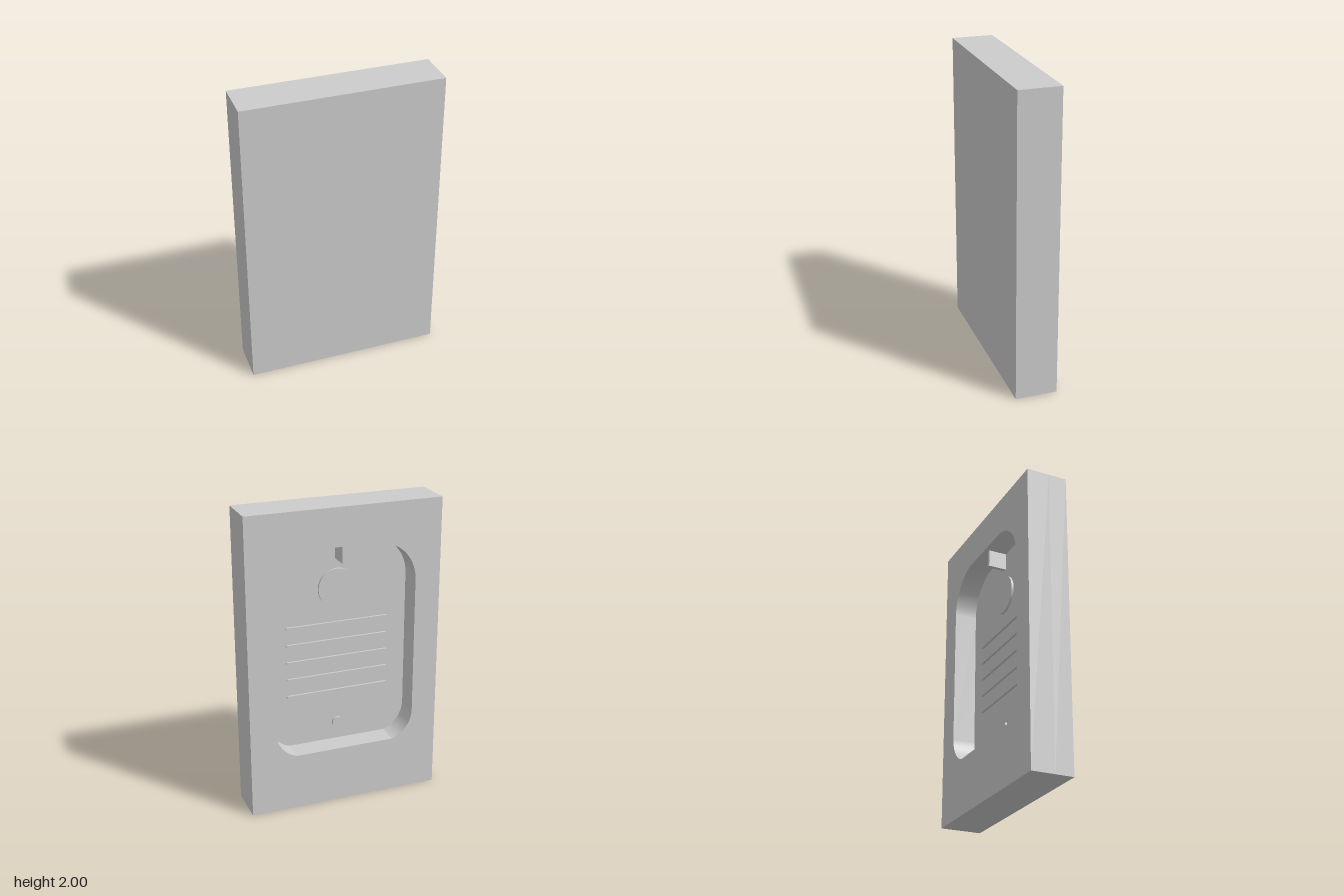
import * as THREE from 'three';
import { toCreasedNormals } from 'three/addons/utils/BufferGeometryUtils.js';

const W = 1.29, H = 2, BACK = -0.137, FRONT = 0.137, FLOOR = 0.015;
const RELIEF = 0.015; // height of the low details on the recess floor

// Badge outline: round shoulders, rounded lower corners, pointed bottom
function badgePath() {
  const half = 0.476, top = 1.75, tip = 0.273, slope = 0.31;
  const rTop = 0.27, rLow = 0.2, tilt = Math.atan(slope);
  const cx = half - rLow;
  const cy = tip + slope * cx + rLow / Math.cos(tilt);
  const p = new THREE.Path();
  p.moveTo(0, tip);
  p.absarc(cx, cy, rLow, -Math.PI / 2 + tilt, 0, false);
  p.absarc(half - rTop, top - rTop, rTop, 0, Math.PI / 2, false);
  p.absarc(-half + rTop, top - rTop, rTop, Math.PI / 2, Math.PI, false);
  p.absarc(-cx, cy, rLow, Math.PI, Math.PI * 1.5 - tilt, false);
  p.closePath();
  return p;
}

function barShape(halfLength, r) {
  const s = new THREE.Shape();
  s.absarc(halfLength - r, 0, r, -Math.PI / 2, Math.PI / 2, false);
  s.absarc(-halfLength + r, 0, r, Math.PI / 2, Math.PI * 1.5, false);
  s.closePath();
  return s;
}

export function createModel() {
  const group = new THREE.Group();
  const material = new THREE.MeshStandardMaterial({ color: 0xcccccc });

  function add(name, geometry, x, y, z) {
    const mesh = new THREE.Mesh(geometry, material);
    mesh.name = name;
    mesh.position.set(x, y, z);
    group.add(mesh);
    return mesh;
  }
  const extrude = (shape, depth) => toCreasedNormals(
    new THREE.ExtrudeGeometry(shape, { depth, bevelEnabled: false, curveSegments: 20 }), 0.25);

  // Solid front slab, whose back is the recess floor
  add('frontSlab', new THREE.BoxGeometry(W, H, FRONT - FLOOR), 0, H / 2, (FRONT + FLOOR) / 2);

  // Back frame around the recess
  const frame = new THREE.Shape([
    new THREE.Vector2(-W / 2, 0), new THREE.Vector2(W / 2, 0),
    new THREE.Vector2(W / 2, H), new THREE.Vector2(-W / 2, H),
  ]);
  frame.holes.push(badgePath());
  add('recessFrame', extrude(frame, FLOOR - BACK), 0, 0, BACK);

  // Low discs: large emblem and small dot
  for (const [name, r, y] of [['largeDisc', 0.128, 1.44], ['smallDisc', 0.034, 0.5]]) {
    const disc = add(name, new THREE.CylinderGeometry(r, r, RELIEF, 48), 0, y, FLOOR - RELIEF / 2);
    disc.rotation.x = Math.PI / 2;
  }

  // Five horizontal ridges
  const bar = extrude(barShape(0.348, 0.009), RELIEF);
  for (let i = 0; i < 5; i++) add('ridge' + (i + 1), bar, 0, 1.203 - i * 0.118, FLOOR - RELIEF);

  // Thin fin that forms the slot at the top
  add('slotFin', new THREE.BoxGeometry(0.024, 0.12, 0.123), 0, 1.692, FLOOR - 0.0615);

  return group;
}
